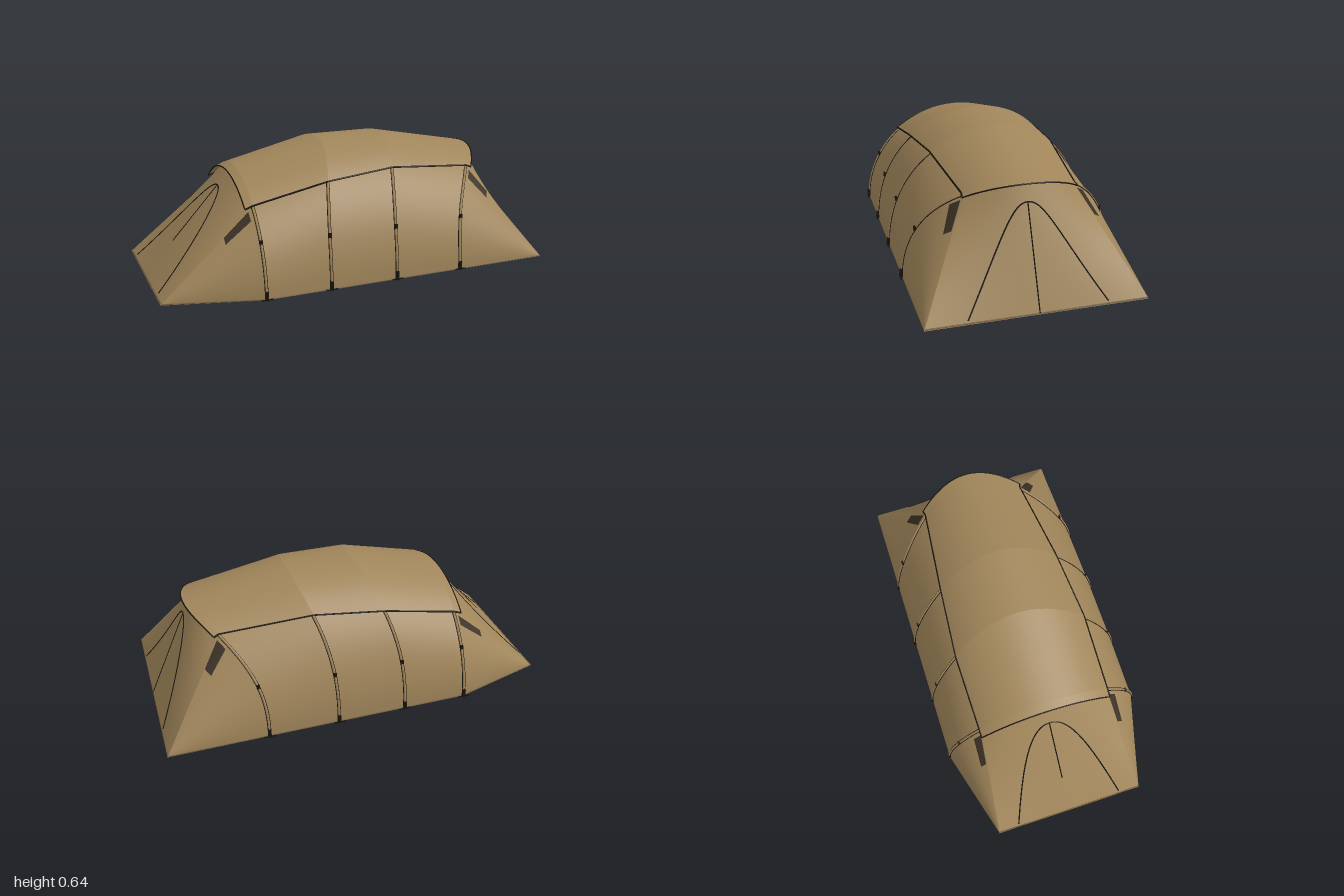
import * as THREE from 'three';

const mat = (name, color, side = THREE.FrontSide) => {
  const m = new THREE.MeshStandardMaterial({ color, side });
  m.name = name;
  return m;
};

// One arch: foot x, forward lean at the apex, height, height where the roof cover ends
const ARCHES = [
  { x: -0.53, lean: 0, h: 0.52, low: 0.40 },
  { x: -0.203, lean: 0.123, h: 0.63, low: 0.48 },
  { x: 0.147, lean: 0.123, h: 0.63, low: 0.508 },
  { x: 0.503, lean: 0.26, h: 0.535, low: 0.462 },
];
const HALF = 0.52;
const V = (x, y, z) => new THREE.Vector3(x, y, z);
const splitAngle = (p) => Math.asin(p.low / p.h);

// Point on an arch: a runs from 0 (left foot, +z) to PI, o pushes it outward
function archPoint(p, a, o = 0) {
  const s = Math.sin(a);
  return V(p.x + p.lean * s ** 3, (p.h + o) * s, (HALF + o) * Math.cos(a));
}

function sample(n, from, to, f) {
  return Array.from({ length: n + 1 }, (_, i) => f(from + ((to - from) * i) / n));
}

// Surface between rows of points, rows ordered along +x
function loft(rows) {
  const n = rows[0].length, index = [];
  for (let r = 0; r < rows.length - 1; r++) {
    for (let i = 0; i < n - 1; i++) {
      const a = r * n + i, b = a + n;
      index.push(a, b, a + 1, b, b + 1, a + 1);
    }
  }
  const g = new THREE.BufferGeometry().setFromPoints(rows.flat());
  g.setIndex(index);
  g.computeVertexNormals();
  return g;
}

export function createModel() {
  const fabric = mat('tan fabric', 0xa0855a, THREE.DoubleSide);
  const hemMat = mat('dark tan hem', 0x75603f);
  const black = mat('black trim', 0x17130e);
  const mesh = mat('dark vent mesh', 0x3a3024, THREE.DoubleSide);

  const tent = new THREE.Group();
  tent.name = 'tunnelTent';
  const add = (name, geometry, material) => {
    const m = new THREE.Mesh(geometry, material);
    m.name = name;
    tent.add(m);
    return m;
  };
  const cord = (name, pts, r, material = black) => {
    const path = new THREE.CurvePath();
    if (pts.length < 5) {
      for (let i = 1; i < pts.length; i++) path.add(new THREE.LineCurve3(pts[i - 1], pts[i]));
      path.curves.forEach((c) => add(name, new THREE.TubeGeometry(c, 1, r, 6), material));
    } else {
      add(name, new THREE.TubeGeometry(new THREE.CatmullRomCurve3(pts), pts.length * 2, r, 6), material);
    }
  };

  // Tunnel body, one panel between each pair of arches
  for (let i = 0; i < 3; i++) {
    const rows = sample(6, 0, 1, (t) => sample(48, 0, Math.PI, (a) =>
      archPoint(ARCHES[i], a).lerp(archPoint(ARCHES[i + 1], a), t)));
    add('bodyPanel', loft(rows), fabric);
  }

  // Sloping ends: a door wall, two corner panels, vents and door seams
  const ends = [
    { arch: ARCHES[0], x: -1, half: 0.39, top: 0.17, foot: 0.72, line: 0.68, vent: [0.05, 0.32] },
    { arch: ARCHES[3], x: 1, half: HALF, top: 0.15, foot: 0.635, line: 0.99, vent: [0.04, 0.28] },
  ];
  for (const e of ends) {
    const split = splitAngle(e.arch);
    const order = (rows) => (e.x < 0 ? rows.reverse() : rows);
    // u runs -1..1 across the wall, s from the arch down to the ground
    const wall = (u, s) => archPoint(e.arch, Math.PI / 2 + u * (Math.PI / 2 - split))
      .lerp(V(e.x, 0, -u * e.half), s);
    add('doorWall', loft(order(sample(10, 0, 1, (s) => sample(24, -1, 1, (u) => wall(u, s))))), fabric);

    for (const side of [1, -1]) {
      const corner = V(e.x, 0, side * e.half);
      const panel = (s0, s1, a0, a1, o) => {
        const from = side > 0 ? a0 : Math.PI - a1, to = side > 0 ? a1 : Math.PI - a0;
        return loft(order(sample(10, s0, s1, (s) => sample(18, from, to, (a) =>
          archPoint(e.arch, a, o).lerp(corner.clone().add(V(0, o, side * o)), s)))));
      };
      add('cornerPanel', panel(0, 1, 0, split, 0), fabric);
      add('cornerVent', panel(e.vent[0], e.vent[1], split - 0.11, split - 0.005, 0.005), mesh);
    }

    const seam = sample(32, -1, 1, (v) =>
      wall(v * e.foot, e.top + (0.97 - e.top) * Math.abs(v) ** 2.2));
    cord('doorSeam', seam, 0.0035);
    cord('doorZip', [wall(0, e.top), wall(0, e.line)], 0.003);
  }

  // Roof cover, overhanging the first and last arches
  const cover = [
    { x: -0.57, lean: 0, h: 0.5, low: 0.385 },
    ...ARCHES,
    { x: 0.522, lean: 0.278, h: 0.528, low: 0.452 },
  ];
  const coverRow = (p) => {
    const s = splitAngle(p);
    return sample(36, s, Math.PI - s, (a) => archPoint(p, a, 0.012));
  };
  const coverRows = cover.map(coverRow);
  for (let i = 0; i < cover.length - 1; i++) {
    add('roofCover', loft([coverRows[i], coverRows[i + 1]]), fabric);
  }
  cord('coverEndTrim', coverRows[0], 0.0035);
  cord('coverEndTrim', coverRows[5], 0.0035);
  for (const k of [0, 36]) {
    for (let i = 0; i < 5; i++) cord('coverSideTrim', [coverRows[i][k], coverRows[i + 1][k]], 0.0045);
  }

  // Pole sleeves with piping, clips, feet and peg bars on both sides
  for (const p of ARCHES) {
    const s = splitAngle(p);
    for (const side of [1, -1]) {
      const run = (dx, o) => sample(16, 0.01, s, (a) => {
        const q = archPoint(p, a, o);
        return V(q.x + dx, q.y, q.z * side);
      });
      cord('poleSleeve', run(0, 0.003), 0.006, fabric);
      for (const dx of [-0.007, 0.007]) cord('sleevePiping', run(dx, 0.002), 0.002);

      const c = archPoint(p, Math.asin(0.26 / p.h), 0.006);
      add('poleClip', new THREE.BoxGeometry(0.015, 0.022, 0.012), black).position.set(c.x, c.y, c.z * side);
      add('poleFoot', new THREE.BoxGeometry(0.014, 0.046, 0.018), black).position.set(p.x, 0.023, side * 0.524);
      add('pegBar', new THREE.BoxGeometry(0.06, 0.005, 0.005), black).position.set(p.x, 0.006, side * 0.53);
    }
  }

  // Hem along the ground
  const b = 0.996, y = 0.004;
  cord('hem', [V(-b, y, -0.386), V(-b, y, 0.386)], 0.004, hemMat);
  cord('hem', [V(b, y, -0.516), V(b, y, 0.516)], 0.004, hemMat);
  for (const side of [1, -1]) {
    cord('hem', [V(-b, y, side * 0.388), V(-0.53, y, side * HALF), V(b, y, side * 0.518)], 0.004, hemMat);
  }

  return tent;
}
